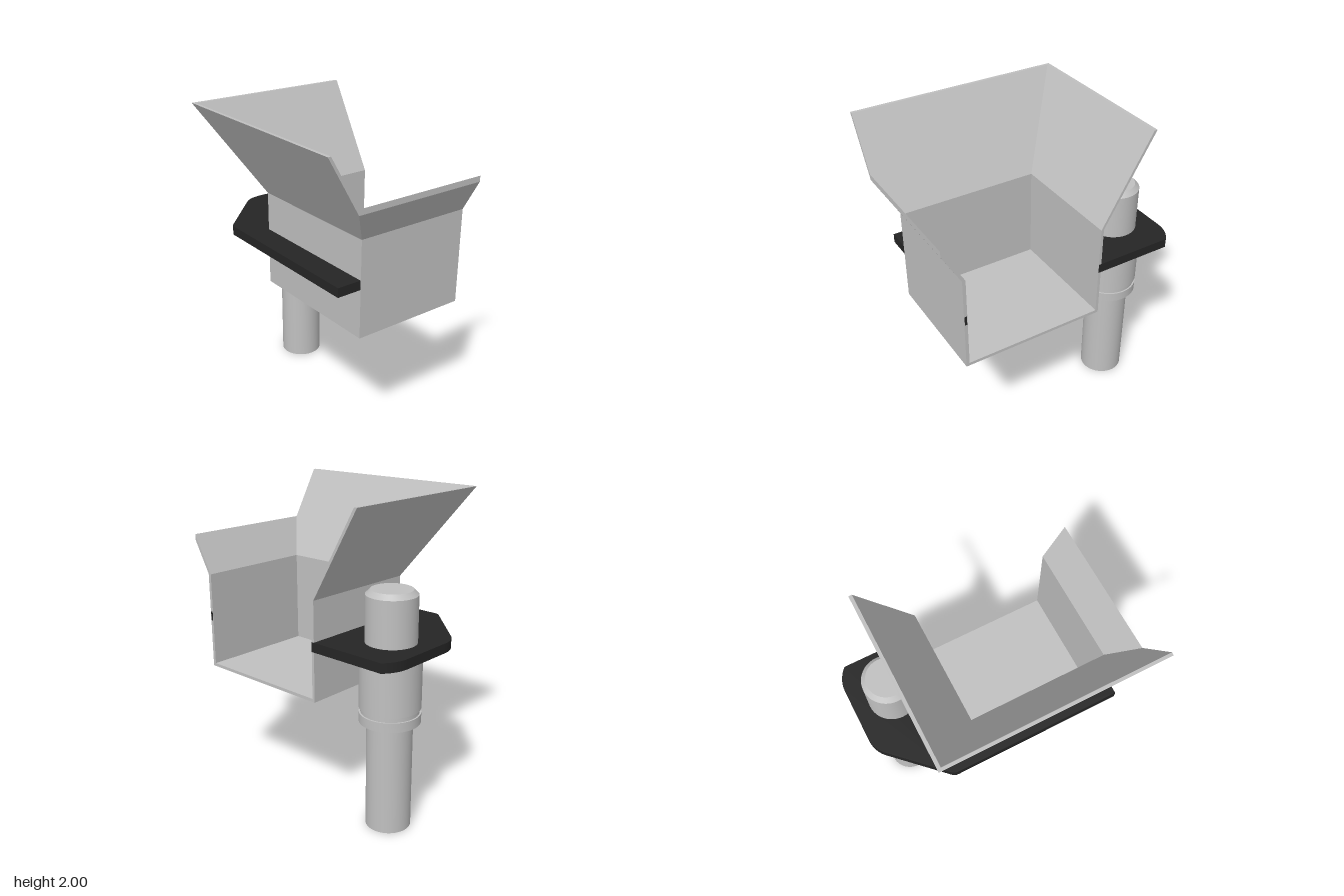
import * as THREE from 'three';
import { toCreasedNormals } from 'three/addons/utils/BufferGeometryUtils.js';

// Solid panel between an outer polygon and the matching inner polygon
function panelGeometry(outer, inner) {
  const o = outer.map(p => new THREE.Vector3(...p));
  const i = inner.map(p => new THREE.Vector3(...p));
  const normal = new THREE.Vector3().crossVectors(
    o[1].clone().sub(o[0]), o[2].clone().sub(o[0]));
  if (normal.dot(o[0].clone().sub(i[0])) < 0) { o.reverse(); i.reverse(); }
  const pos = [], n = o.length;
  const tri = (...pts) => pts.forEach(p => pos.push(p.x, p.y, p.z));
  for (let k = 1; k < n - 1; k++) {
    tri(o[0], o[k], o[k + 1]);
    tri(i[0], i[k + 1], i[k]);
  }
  for (let k = 0; k < n; k++) {
    const m = (k + 1) % n;
    tri(o[k], i[k], i[m]);
    tri(o[k], i[m], o[m]);
  }
  const g = new THREE.BufferGeometry();
  g.setAttribute('position', new THREE.Float32BufferAttribute(pos, 3));
  g.computeVertexNormals();
  return g;
}

export function createModel() {
  const steel = new THREE.MeshStandardMaterial({ color: 0xc0c0c0, side: THREE.DoubleSide });
  steel.name = 'light grey steel';
  const black = new THREE.MeshStandardMaterial({ color: 0x252525 });
  black.name = 'black plate';

  const model = new THREE.Group();
  model.name = 'hopperOnPost';
  const add = (parent, name, geo, mat) => {
    const m = new THREE.Mesh(geo, mat);
    m.name = name;
    parent.add(m);
  };

  // Hopper: outer and inner skins, open on the +x side
  const hopper = new THREE.Group();
  hopper.name = 'hopper';
  model.add(hopper);
  const R = 0.555, F = 0.81;
  const skin = (x, back, front, floor, rimX, rimBack, cutX, cutY) => ({
    floor: [[x, floor, back], [R, floor, back], [R, floor, front], [x, floor, front]],
    backWall: [[x, floor, back], [R, floor, back], [R, 1.44, back], [x, 1.44, back]],
    sideWall: [[x, floor, back], [x, floor, front], [x, 1.44, front], [x, 1.44, back]],
    frontWall: [[x, floor, front], [R, floor, front], [R, 1.44, front], [x, 1.44, front]],
    backFlare: [[x, 1.44, back], [R, 1.44, back], [R, 2, rimBack], [rimX, 2, rimBack]],
    sideFlare: [[x, 1.44, back], [x, 1.44, front], [cutX, cutY, F], [rimX, 2, F], [rimX, 2, rimBack]],
    frontFlare: [[x, 1.44, front], [R, 1.44, front], [R, cutY, F], [cutX, cutY, F]],
  });
  const outer = skin(-0.23, -0.243, 0.695, 0.815, -0.555, -0.57, -0.349, 1.645);
  const inner = skin(-0.21, -0.225, 0.674, 0.835, -0.535, -0.549, -0.35, 1.682);
  for (const name of Object.keys(outer)) {
    add(hopper, name, panelGeometry(outer[name], inner[name]), steel);
  }

  // Mounting plate wrapping the hopper, drawn in x and z
  const E = 0.556;
  const s = new THREE.Shape();
  s.moveTo(E, -0.225);
  s.lineTo(E, -0.745);
  s.quadraticCurveTo(0.49, -0.81, 0.4, -0.81);
  s.lineTo(0.06, -0.81);
  s.quadraticCurveTo(-0.02, -0.81, -0.075, -0.757);
  s.lineTo(-0.375, -0.45);
  s.quadraticCurveTo(-0.39, -0.435, -0.39, -0.41);
  s.lineTo(-0.39, 0.692);
  s.lineTo(E, 0.692);
  s.lineTo(E, 0.677);
  s.lineTo(-0.213, 0.677);
  s.lineTo(-0.213, -0.227);
  s.lineTo(E, -0.227);
  const plate = new THREE.ExtrudeGeometry(s, { depth: 0.06, bevelEnabled: false, curveSegments: 10 });
  plate.rotateX(Math.PI / 2).translate(0, 1.19, 0);
  add(model, 'mountingPlate', plate, black);

  // Turned post with grooved collar and chamfered cap, hollow at the foot
  const profile = [
    [0.14, 0], [0.14, 0.695], [0.187, 0.695], [0.187, 0.755], [0.177, 0.755], [0.177, 0.785],
    [0.187, 0.785], [0.187, 1.13], [0.155, 1.13], [0.155, 1.475], [0.126, 1.505], [0, 1.505],
  ].map(p => new THREE.Vector2(...p));
  const post = toCreasedNormals(new THREE.LatheGeometry(profile, 48), 0.5);
  post.translate(0.237, 0, -0.557);
  add(model, 'post', post, steel);

  return model;
}
